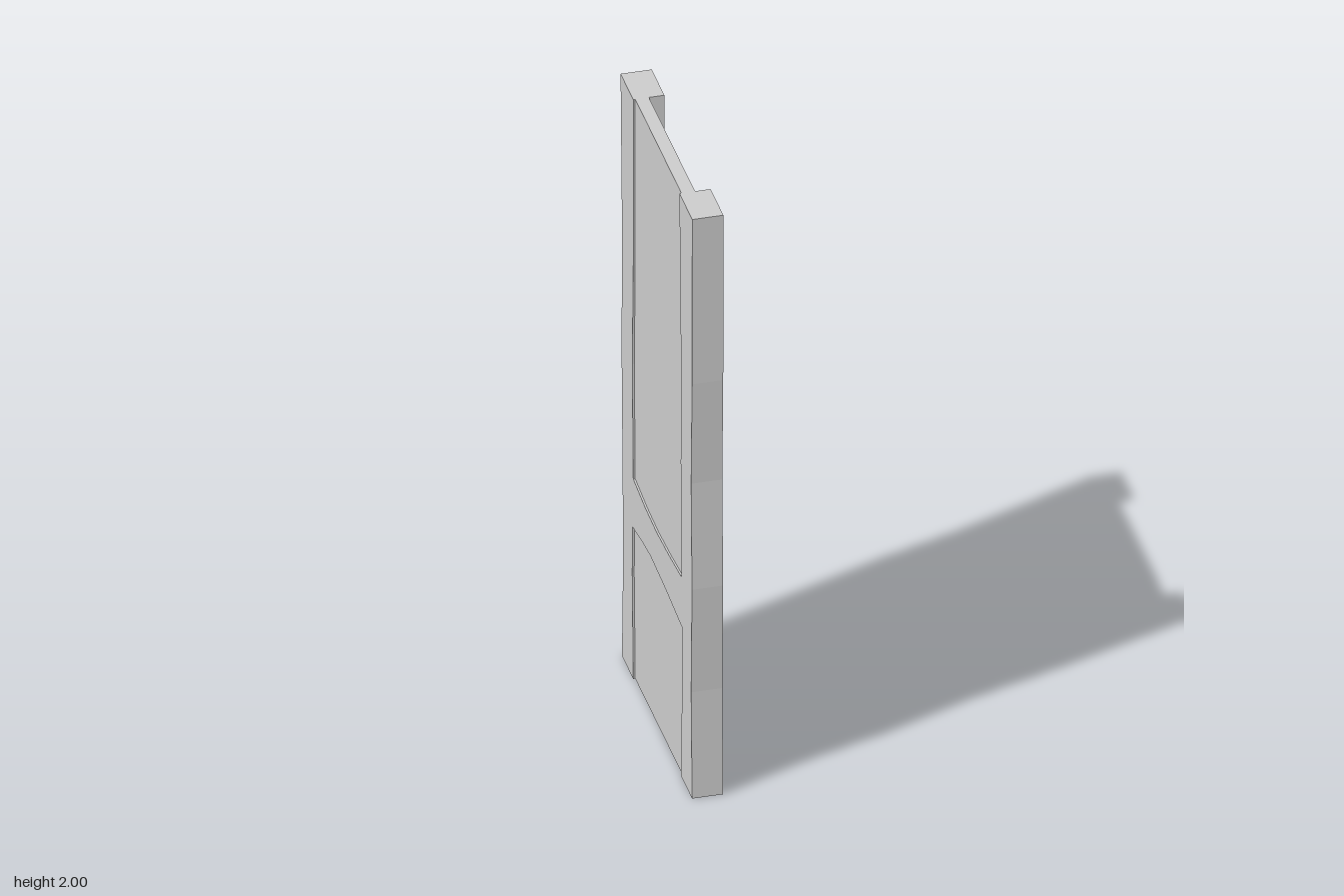
import * as THREE from 'three';

const material = new THREE.MeshStandardMaterial({ color: 0xcccccc, flatShading: true });

// Board with a [z, y] outline, filling the thickness from x0 to x1
function board(name, outline, x0, x1) {
  const shape = new THREE.Shape(outline.map(([z, y]) => new THREE.Vector2(z, y)));
  const geometry = new THREE.ExtrudeGeometry(shape, { depth: x1 - x0, bevelEnabled: false });
  geometry.rotateY(-Math.PI / 2).translate(x1, 0, 0);
  const mesh = new THREE.Mesh(geometry, material);
  mesh.name = name;
  return mesh;
}

export function createModel() {
  const group = new THREE.Group();
  group.name = 'doorPanel';

  // Wavy, hand-hewn edges of the two posts, from bottom to top
  const frontOuter = [[0.411, 0], [0.4, 0.36], [0.41, 0.72], [0.4, 1.08], [0.411, 1.43], [0.413, 2]];
  const frontInner = [[0.283, 0], [0.297, 0.36], [0.296, 0.52], [0.288, 0.69], [0.28, 1.08], [0.283, 1.43], [0.265, 2]];
  const backInner = [[-0.267, 0], [-0.279, 0.36], [-0.275, 0.52], [-0.267, 0.69], [-0.278, 1.08], [-0.267, 1.43], [-0.267, 2]];
  const backOuter = [[-0.397, 0], [-0.383, 0.36], [-0.392, 0.72], [-0.402, 1.08], [-0.395, 1.43], [-0.413, 2]];
  const between = (a, b) => [...a, ...[...b].reverse()];

  group.add(board('frontPost', between(frontOuter, frontInner), -0.047, 0.047));
  group.add(board('backPost', between(backInner, backOuter), -0.047, 0.047));

  // Recessed panel fitted between the posts
  group.add(board('panel', between(frontInner, backInner), -0.041, 0));

  // Cross rail with bowed upper and lower edges
  const railTop = [[0.288, 0.69], [0.14, 0.677], [0, 0.67], [-0.13, 0.675], [-0.267, 0.69]];
  const railBottom = [[0.296, 0.52], [0.1, 0.537], [-0.07, 0.545], [-0.15, 0.538], [-0.275, 0.52]];
  group.add(board('crossRail', between(railTop, railBottom), -0.047, 0.033));

  return group;
}
